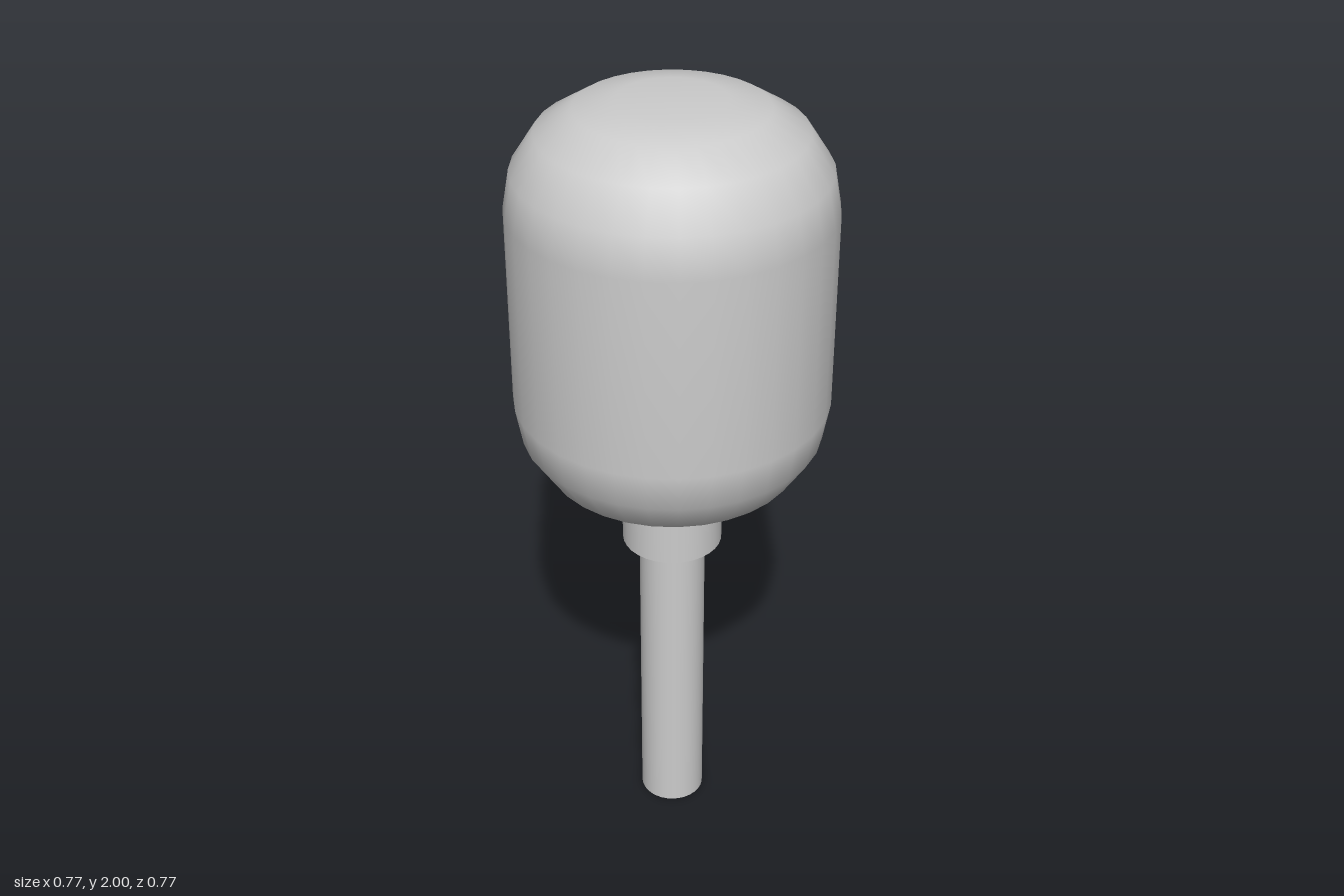
import * as THREE from 'three';

const SIDES = 32;

export function createModel() {
  const group = new THREE.Group();
  const material = new THREE.MeshStandardMaterial({ color: 0xcccccc });

  const add = (name, geometry, y = 0) => {
    const mesh = new THREE.Mesh(geometry, material);
    mesh.name = name;
    mesh.position.y = y;
    group.add(mesh);
  };

  // Straight round handle and the wider collar above it
  add('handle', new THREE.CylinderGeometry(0.083, 0.083, 0.85, SIDES), 0.425);
  add('collar', new THREE.CylinderGeometry(0.125, 0.125, 0.185, SIDES), 0.9275);

  // Rounded barrel head: half profile mirrored about its middle height
  const middle = 1.5;
  const upper = [[0.383, 0.245], [0.366, 0.34], [0.309, 0.427], [0.222, 0.481], [0.125, 0.5], [0, 0.5]];
  const profile = [
    ...upper.map(([r, h]) => new THREE.Vector2(r, middle - h)).reverse(),
    ...upper.map(([r, h]) => new THREE.Vector2(r, middle + h)),
  ];
  add('head', new THREE.LatheGeometry(profile, SIDES));

  return group;
}
